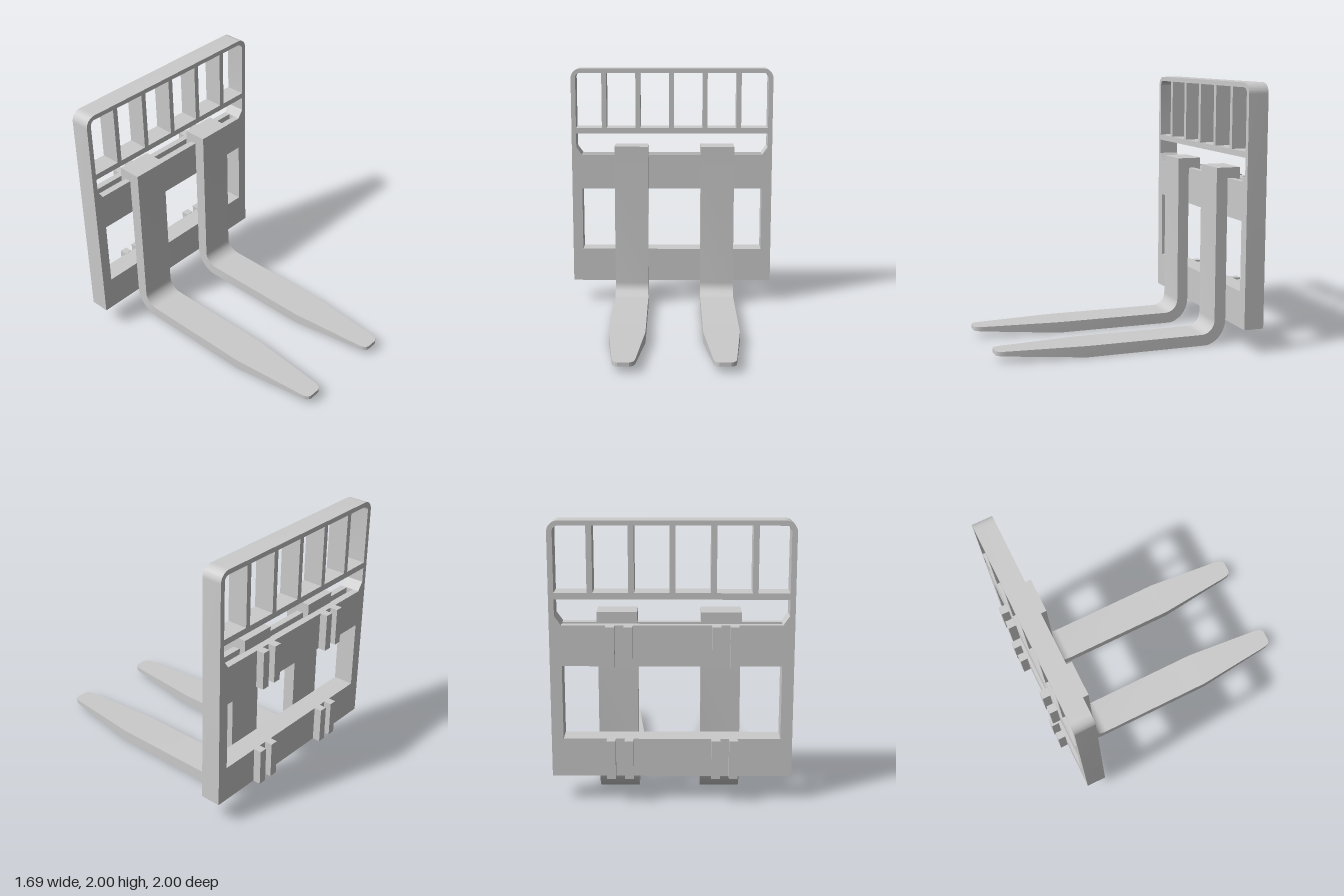
import * as THREE from 'three';
import { toCreasedNormals } from 'three/addons/utils/BufferGeometryUtils.js';

const grey = new THREE.MeshStandardMaterial({ color: 0xcccccc });
const FRONT = -0.78, BACK = -0.935, DEPTH = FRONT - BACK;

function addMesh(parent, name, geometry) {
  const mesh = new THREE.Mesh(geometry, grey);
  mesh.name = name;
  parent.add(mesh);
  return mesh;
}

// Box given by its limits on each axis
function addBox(parent, name, x0, x1, y0, y1, z0, z1) {
  const mesh = addMesh(parent, name, new THREE.BoxGeometry(x1 - x0, y1 - y0, z1 - z0));
  mesh.position.set((x0 + x1) / 2, (y0 + y1) / 2, (z0 + z1) / 2);
}

// Upright outline, square at the bottom and rounded at the top corners
function archPath(path, w, y0, y1, r) {
  path.moveTo(-w, y0);
  path.lineTo(w, y0);
  path.lineTo(w, y1 - r);
  path.absarc(w - r, y1 - r, r, 0, Math.PI / 2, false);
  path.lineTo(-w + r, y1);
  path.absarc(-w + r, y1 - r, r, Math.PI / 2, Math.PI, false);
  path.closePath();
  return path;
}

// Side posts, lower beam, cross rail and top hoop in one plate
function frameGeometry() {
  const shape = archPath(new THREE.Shape(), 0.843, 0.187, 2, 0.08);
  shape.holes.push(archPath(new THREE.Path(), 0.805, 1.505, 1.965, 0.04));
  const half = [[0.76, 0.463], [0.76, 1.28], [0.805, 1.345], [0.805, 1.46]];
  const mirrored = half.map(([x, y]) => [-x, y]).reverse();
  shape.holes.push(new THREE.Path([...half, ...mirrored].map(([x, y]) => new THREE.Vector2(x, y))));
  const geo = new THREE.ExtrudeGeometry(shape, { depth: DEPTH, bevelEnabled: false, curveSegments: 8 });
  geo.translate(0, 0, BACK);
  return toCreasedNormals(geo, 0.5);
}

// Upper beam with a groove along its top for the fork hooks
function upperBeamGeometry() {
  const outline = [[0, 0.99], [DEPTH, 0.99], [DEPTH, 1.28], [0.105, 1.28],
    [0.105, 1.235], [0.05, 1.235], [0.05, 1.28], [0, 1.28]];
  const shape = new THREE.Shape(outline.map(([d, y]) => new THREE.Vector2(d, y)));
  const geo = new THREE.ExtrudeGeometry(shape, { depth: 1.52, bevelEnabled: false });
  geo.rotateY(-Math.PI / 2); // profile depth to +z, length to -x
  geo.translate(0.76, 0, BACK);
  return geo;
}

// Fork lofted from rectangular sections: shank, bent heel, tapering blade
function forkGeometry() {
  const W = 0.14, cz = -0.585, cy = 0.19, inner = 0.105, outer = 0.195;
  const sections = [{ a: [cz - inner, 1.36], b: [cz - outer, 1.36], w: W }];
  const steps = 10;
  for (let i = 0; i <= steps; i++) {
    const t = (i / steps) * Math.PI / 2, c = Math.cos(t), s = Math.sin(t);
    sections.push({ a: [cz - inner * c, cy - inner * s], b: [cz - outer * c, Math.max(0, cy - outer * s)], w: W });
  }
  const blade = [[0.33, 0, W], [0.92, 0.049, 0.085], [0.955, 0.052, 0.08],
    [0.98, 0.054, 0.07], [0.993, 0.055, 0.058], [1, 0.055, 0.042]];
  for (const [z, y, w] of blade) sections.push({ a: [z, 0.086], b: [z, y], w });

  const pos = [], index = [];
  for (const { a, b, w } of sections) {
    pos.push(-w, a[1], a[0], w, a[1], a[0], w, b[1], b[0], -w, b[1], b[0]);
  }
  const last = (sections.length - 1) * 4;
  for (let i = 0; i < last; i += 4) {
    for (let k = 0; k < 4; k++) {
      const p = i + k, q = i + (k + 1) % 4;
      index.push(p, q + 4, q, p, p + 4, q + 4);
    }
  }
  index.push(0, 1, 2, 0, 2, 3, last, last + 2, last + 1, last, last + 3, last + 2);
  const geo = new THREE.BufferGeometry();
  geo.setAttribute('position', new THREE.Float32BufferAttribute(pos, 3));
  geo.setIndex(index);
  return toCreasedNormals(geo, 0.4);
}

export function createModel() {
  const model = new THREE.Group();
  model.name = 'forkCarriage';

  // Carriage and load guard
  const carriage = new THREE.Group();
  carriage.name = 'carriage';
  model.add(carriage);
  addMesh(carriage, 'frame', frameGeometry());
  addMesh(carriage, 'upperBeam', upperBeamGeometry());
  for (const x of [-0.568, -0.285, -0.004, 0.277, 0.56]) {
    addBox(carriage, 'guardBar', x - 0.02, x + 0.02, 1.505, 1.965, BACK, FRONT);
  }

  // Paired mounting lugs on the back of both beams
  for (const [y0, y1] of [[0.187, 0.465], [0.99, 1.28]]) {
    for (const [x0, x1] of [[-0.46, -0.4], [-0.338, -0.275], [0.267, 0.33], [0.393, 0.455]]) {
      addBox(carriage, 'mountingLug', x0, x1, y0, y1, -0.995, BACK);
    }
  }

  // Forks with hooks resting in the upper beam groove
  const blade = forkGeometry();
  for (const x of [-0.34, 0.38]) {
    const fork = new THREE.Group();
    fork.name = 'fork';
    fork.position.x = x;
    model.add(fork);
    addMesh(fork, 'forkBlade', blade);
    addBox(fork, 'forkHook', -0.14, 0.14, 1.28, 1.36, -0.88, -0.78);
    addBox(fork, 'hookLip', -0.14, 0.14, 1.24, 1.28, -0.88, -0.835);
  }
  return model;
}
